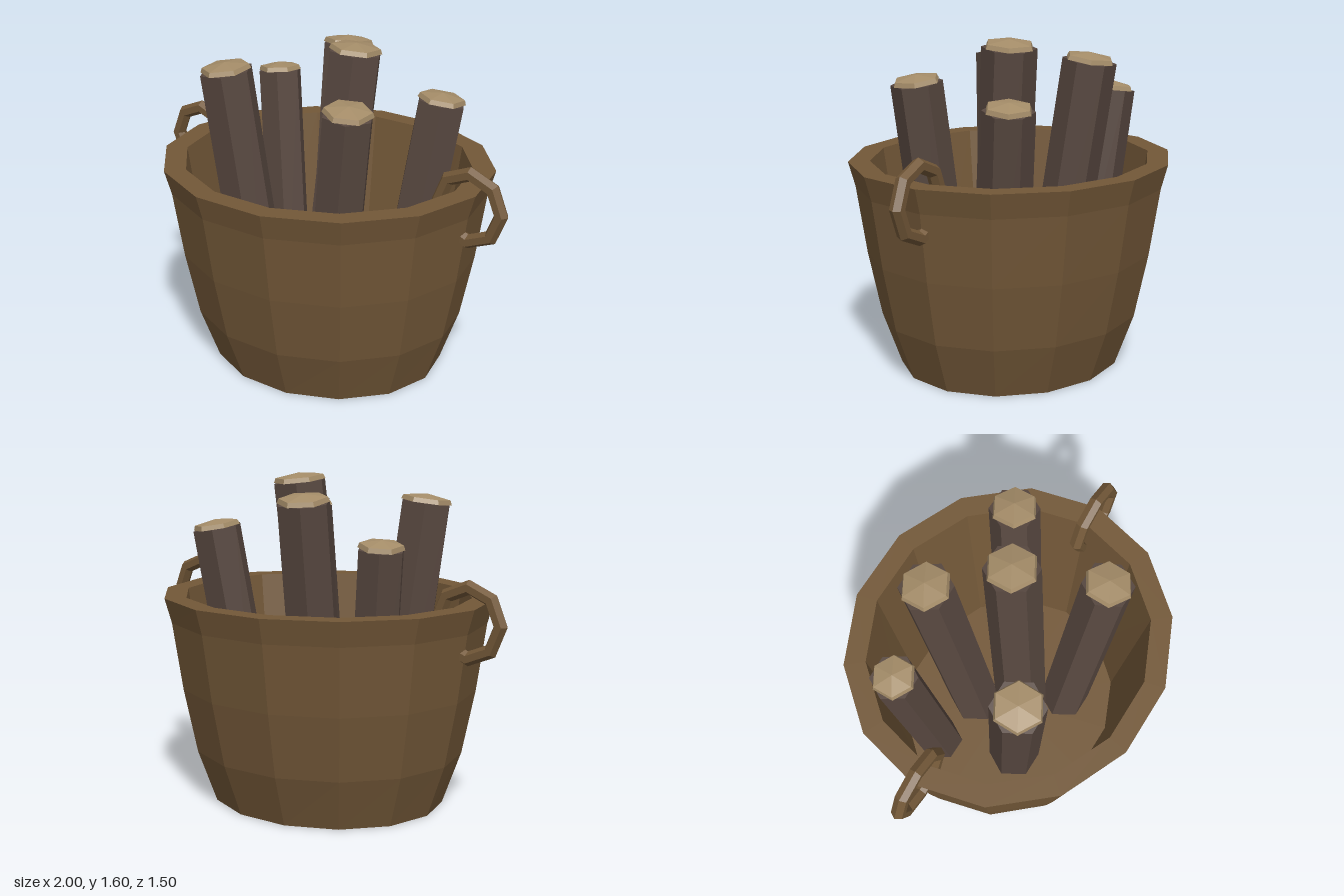
import * as THREE from 'three';

const mat = (name, color) => {
  const m = new THREE.MeshStandardMaterial({ color });
  m.name = name;
  return m;
};

// Faceted look: every face gets its own normal
function faceted(geo) {
  const g = geo.index ? geo.toNonIndexed() : geo;
  g.computeVertexNormals();
  return g;
}

function addMesh(parent, name, geo, material) {
  const mesh = new THREE.Mesh(faceted(geo), material);
  mesh.name = name;
  parent.add(mesh);
  return mesh;
}

// Skin elliptical rings [y, radiusX, radiusZ], listed bottom to top on the outside
function ellipticalLoft(rings, sides) {
  const pos = [], index = [];
  for (const [y, rx, rz] of rings) {
    for (let i = 0; i < sides; i++) {
      const a = (i / sides) * Math.PI * 2;
      pos.push(rx * Math.cos(a), y, rz * Math.sin(a));
    }
  }
  for (let r = 0; r < rings.length - 1; r++) {
    for (let i = 0; i < sides; i++) {
      const a = r * sides + i, b = r * sides + (i + 1) % sides;
      const c = a + sides, d = b + sides;
      if (rings[r][1] > 0) index.push(a, c, b);
      if (rings[r + 1][1] > 0) index.push(b, c, d);
    }
  }
  const g = new THREE.BufferGeometry();
  g.setAttribute('position', new THREE.Float32BufferAttribute(pos, 3));
  g.setIndex(index);
  return g;
}

export function createModel() {
  const model = new THREE.Group();
  model.name = 'logBasket';
  const basketBrown = mat('basketBrown', 0x735838);
  const bark = mat('bark', 0x584840);
  const cutWood = mat('cutWood', 0xa48c68);

  // Basket: underside, flared outer wall, rim, inner wall, floor
  addMesh(model, 'basket', ellipticalLoft([
    [0, 0, 0],
    [0, 0.595, 0.528],
    [0.255, 0.685, 0.62],
    [0.57, 0.748, 0.686],
    [0.9, 0.795, 0.737],
    [1.02, 0.83, 0.769],
    [1.02, 0.72, 0.667],
    [0.12, 0.6, 0.535],
    [0.12, 0, 0],
  ], 14), basketBrown);

  // Ring handles passing through the wall on both sides
  for (const [name, side] of [['leftHandle', 1], ['rightHandle', -1]]) {
    const handle = addMesh(model, name, new THREE.TorusGeometry(0.165, 0.035, 6, 8), basketBrown);
    handle.position.set(side * 0.8, 0.957, 0);
  }

  // Logs: base x, z, then top x, y, z of the bark end, and radius
  const logs = [
    [-0.38, -0.19, -0.515, 1.305, -0.29, 0.113],
    [-0.09, -0.15, -0.13, 1.495, -0.355, 0.13],
    [0.32, -0.13, 0.475, 1.335, -0.265, 0.122],
    [0.02, 0.065, 0.12, 1.565, -0.06, 0.133],
    [-0.24, 0.18, -0.385, 1.465, 0.285, 0.13],
    [0.175, 0.24, 0.345, 1.4, 0.315, 0.125],
  ];
  const up = new THREE.Vector3(0, 1, 0);
  for (const [bx, bz, tx, ty, tz, r] of logs) {
    const base = new THREE.Vector3(bx, 0.1, bz);
    const axis = new THREE.Vector3(tx, ty, tz).sub(base);
    const length = axis.length();
    const log = new THREE.Group();
    log.name = 'log';
    log.position.copy(base);
    log.quaternion.setFromUnitVectors(up, axis.normalize());
    model.add(log);

    const body = new THREE.CylinderGeometry(r, r, length, 6);
    body.rotateY(Math.PI / 6).translate(0, length / 2, 0);
    addMesh(log, 'logBark', body, bark);

    // Cut end: bevelled hexagon with a shallow peak, turned against the bark
    const bevel = new THREE.CylinderGeometry(r * 0.88, r * 0.95, 0.022, 6, 1, true);
    bevel.translate(0, length + 0.011, 0);
    addMesh(log, 'cutEndBevel', bevel, cutWood);
    const peak = new THREE.ConeGeometry(r * 0.88, 0.018, 6, 1, true);
    peak.translate(0, length + 0.031, 0);
    addMesh(log, 'cutEnd', peak, cutWood);
  }
  return model;
}
